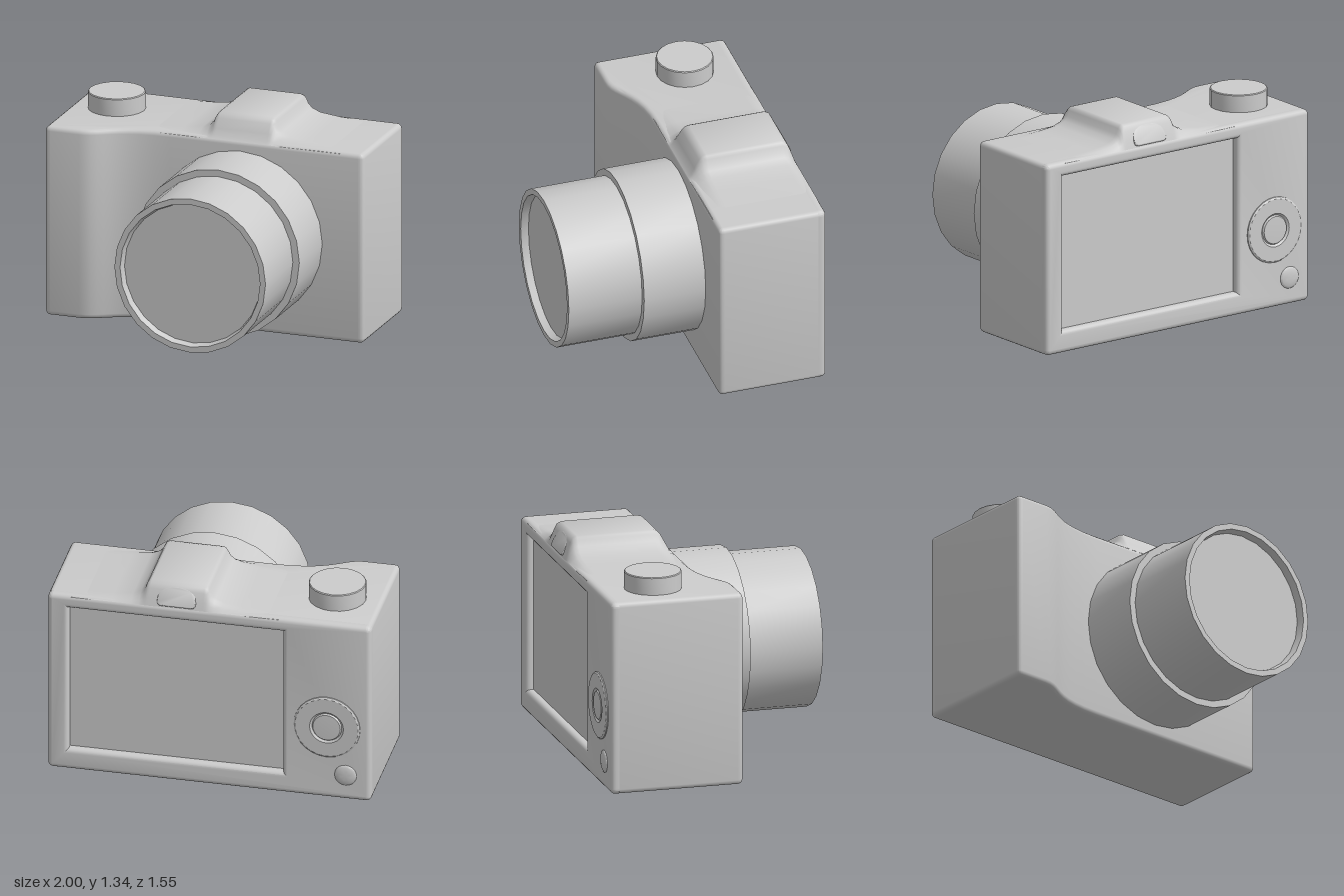
import * as THREE from 'three';
import { toCreasedNormals } from 'three/addons/utils/BufferGeometryUtils.js';

const material = new THREE.MeshStandardMaterial({ color: 0xcccccc, side: THREE.DoubleSide });
const LENS_X = 0.205, BEVEL = 0.03, SEAM = -0.71;

function add(group, name, geometry, crease = 0.6) {
  const mesh = new THREE.Mesh(toCreasedNormals(geometry, crease), material);
  mesh.name = name;
  group.add(mesh);
  return mesh;
}

// Extrusion whose rounded edges stay inside the drawn outline
function extrude(shape, depth, bevel) {
  return new THREE.ExtrudeGeometry(shape, {
    depth, curveSegments: 10, bevelEnabled: true, bevelSegments: 4,
    bevelSize: bevel, bevelThickness: bevel, bevelOffset: -bevel,
  });
}

function lathe(points, segments) {
  return new THREE.LatheGeometry(points.map(([r, h]) => new THREE.Vector2(r, h)), segments);
}

function roundedRect(x0, y0, x1, y1, r) {
  const s = new THREE.Shape();
  s.absarc(x1 - r, y0 + r, r, -Math.PI / 2, 0);
  s.absarc(x1 - r, y1 - r, r, 0, Math.PI / 2);
  s.absarc(x0 + r, y1 - r, r, Math.PI / 2, Math.PI);
  s.absarc(x0 + r, y0 + r, r, Math.PI, Math.PI * 1.5);
  s.closePath();
  return s;
}

// Body: plan outline with the swelling grip, extruded upwards (shape y is -z)
function bodyGeometry() {
  const r = 0.035, s = new THREE.Shape();
  s.moveTo(1, -SEAM);
  s.lineTo(-1, -SEAM);
  s.lineTo(-1, -0.07 + r);
  s.quadraticCurveTo(-1, -0.07, -1 + r, -0.07);
  s.lineTo(-0.78, -0.07);
  s.bezierCurveTo(-0.64, -0.07, -0.62, 0.08, -0.25, 0.08);
  s.lineTo(1 - r, 0.08);
  s.quadraticCurveTo(1, 0.08, 1, 0.08 + r);
  s.closePath();
  const g = extrude(s, 1.2 - 2 * BEVEL, BEVEL);
  g.rotateX(-Math.PI / 2).translate(0, BEVEL, 0);
  // keep the rear flat where the back frame joins
  const p = g.attributes.position;
  for (let i = 0; i < p.count; i++) if (p.getZ(i) < SEAM + 0.04) p.setZ(i, SEAM);
  return g;
}

// Back frame: rounded plate with the screen opening
function backFrameGeometry() {
  const s = roundedRect(-1, 0, 1, 1.2, 0.032);
  s.holes.push(new THREE.Path([[-0.455, 0.14], [0.87, 0.14], [0.87, 1.11], [-0.455, 1.11]]
    .map(([x, y]) => new THREE.Vector2(x, y))));
  return extrude(s, 0.02, BEVEL).translate(0, 0, SEAM - 0.02);
}

// Viewfinder hump: a grid raised by a side profile times a depth profile
function humpGeometry() {
  const half = [[0.165, 1], [0.18, 0.95], [0.192, 0.83], [0.205, 0.6], [0.23, 0.42],
    [0.28, 0.26], [0.4, 0.14], [0.55, 0.08], [0.65, 0]];
  const across = [...half.map(([d, h]) => [-d, h]).reverse(), ...half];
  const along = [[-0.755, 0], [-0.74, 0.35], [-0.72, 0.72], [-0.705, 0.92], [-0.68, 1],
    [-0.2, 1], [-0.175, 0.94], [-0.155, 0.78], [-0.125, 0.4], [-0.105, 0.14], [-0.085, 0]];
  const g = new THREE.PlaneGeometry(1, 1, across.length - 1, along.length - 1);
  const p = g.attributes.position;
  along.forEach(([z, hz], j) => across.forEach(([x, hx], i) =>
    p.setXYZ(j * across.length + i, LENS_X + x, 1.19 + 0.145 * hx * hz, z)));
  return g;
}

// Eyepiece: small arched window on the rear slope of the hump
function eyepieceGeometry() {
  const s = new THREE.Shape();
  s.moveTo(-0.09, -0.06);
  s.lineTo(0.09, -0.06);
  s.quadraticCurveTo(0.12, -0.06, 0.12, -0.03);
  s.bezierCurveTo(0.12, 0.04, 0.08, 0.065, 0, 0.065);
  s.bezierCurveTo(-0.08, 0.065, -0.12, 0.04, -0.12, -0.03);
  s.quadraticCurveTo(-0.12, -0.06, -0.09, -0.06);
  return extrude(s, 0.01, 0.008).rotateY(Math.PI).rotateX(0.45);
}

export function createModel() {
  const model = new THREE.Group();
  model.name = 'camera';

  add(model, 'body', bodyGeometry());
  add(model, 'backFrame', backFrameGeometry());
  add(model, 'viewfinderHump', humpGeometry(), 1.2);
  add(model, 'eyepiece', eyepieceGeometry()).position.set(LENS_X, 1.25, -0.722);

  // Stepped lens barrel with a recessed front glass
  const barrel = lathe([[0.53, -0.12], [0.53, 0.31], [0.488, 0.31], [0.488, 0.775],
    [0.452, 0.775], [0.44, 0.73], [0, 0.73]], 24).rotateX(Math.PI / 2);
  add(model, 'lens', barrel).position.set(LENS_X, 0.605, 0);

  // Shutter button
  add(model, 'shutterButton', lathe([[0.175, -0.03], [0.175, 0.105], [0.17, 0.11], [0, 0.11]], 20))
    .position.set(-0.72, 1.2, -0.42);

  // Rear control dial with its centre button, and a small domed button
  const dial = lathe([[0.207, -0.01], [0.205, 0.006], [0.195, 0.013], [0.105, 0.013], [0.092, 0.002],
    [0.085, 0.012], [0, 0.015]], 28).rotateX(-Math.PI / 2);
  add(model, 'controlDial', dial).position.set(-0.73, 0.49, -0.76);
  const button = lathe([[0.07, -0.01], [0.068, 0.004], [0.055, 0.01], [0.03, 0.014], [0, 0.015]], 20)
    .rotateX(-Math.PI / 2);
  add(model, 'rearButton', button, 1).position.set(-0.845, 0.17, -0.76);

  return model;
}
